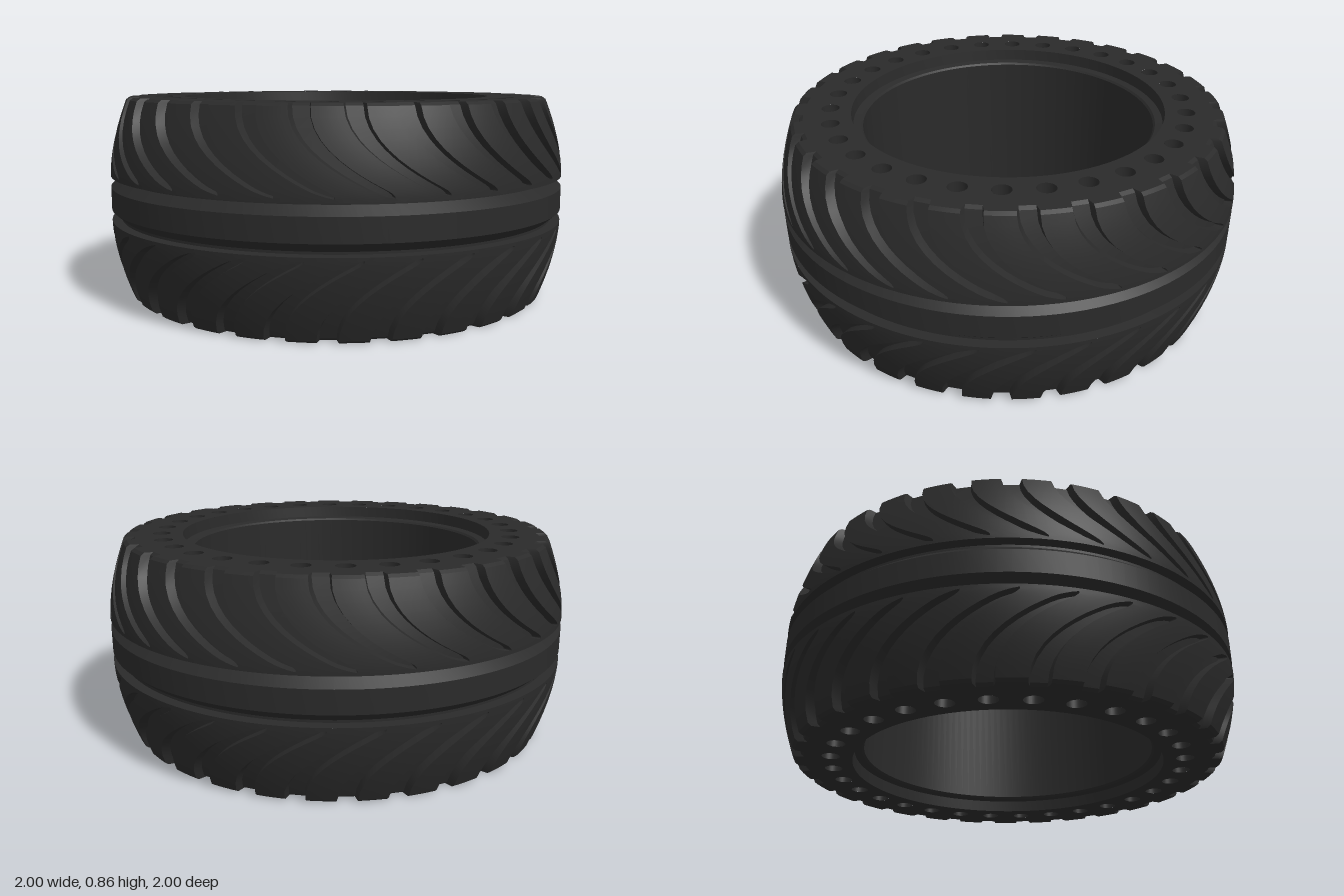
import * as THREE from 'three';
import { toCreasedNormals } from 'three/addons/utils/BufferGeometryUtils.js';

const MID = 0.4275;           // half of the tyre width
const COUNT = 30;             // grooves per side and side holes
const PITCH = (Math.PI * 2) / COUNT;
const DEG = Math.PI / 180;
const SWEEP = 21 * DEG;       // how far a groove leans round the tyre
const GROOVE_END = 0.04;      // grooves stop just short of the centre channel

// Rows from the centre channel (u = 0) to the shoulder (u = 1), then the bevelled rim.
const ROWS = [0, 0.039, 0.041, 0.055, 0.075, 0.1, 0.14, 0.2, 0.27, 0.35, 0.44, 0.54, 0.64, 0.76, 0.88, 1, 1.03];

// One row of tread points, as [angle, radius, distance from mid-plane]
function treadRow(u, phase) {
  const t = Math.min(u, 1);
  const bevel = u > 1 ? 0.014 : 0;
  const radius = 1 - 0.075 * Math.pow(t, 1.7) - bevel;
  const h = u > 1 ? MID : 0.095 + 0.322 * t;
  const open = Math.sqrt(THREE.MathUtils.clamp((t - GROOVE_END) / 0.07, 0, 1));
  const half = (1.7 + 0.8 * t) * DEG * Math.max(open, 0.08);
  const floor = radius - (t > GROOVE_END ? 0.036 : 0);
  const lean = SWEEP * Math.pow(1 - t, 2) + phase;
  const row = [];
  for (let k = 0; k < COUNT; k++) {
    const c = k * PITCH + lean;
    const land = PITCH - 2 * half;
    row.push([c - half, radius, h], [c - half * 0.8, floor, h], [c + half * 0.8, floor, h]);
    for (let j = 0; j < 4; j++) row.push([c + half + (land * j) / 4, radius, h]);
  }
  return row;
}

// Grooved tread on one side of the centre channel
function treadGeometry(side, phase) {
  const positions = [], index = [];
  const cols = COUNT * 7;
  ROWS.forEach((u) => {
    for (const [a, r, h] of treadRow(u, phase)) {
      positions.push(r * Math.sin(a), MID + side * h, r * Math.cos(a));
    }
  });
  for (let i = 0; i < ROWS.length - 1; i++) {
    for (let j = 0; j < cols; j++) {
      const a = i * cols + j, b = i * cols + ((j + 1) % cols);
      const c = b + cols, d = a + cols;
      if (side > 0) index.push(a, b, c, a, c, d);
      else index.push(a, c, b, a, d, c);
    }
  }
  const geometry = new THREE.BufferGeometry();
  geometry.setAttribute('position', new THREE.Float32BufferAttribute(positions, 3));
  geometry.setIndex(index);
  return toCreasedNormals(geometry, 0.5);
}

// Flat sidewall: notched outer edge, round inner edge and a ring of holes
function sidewallGeometry(side, phase) {
  const rim = treadRow(ROWS[ROWS.length - 1], phase);
  const shape = new THREE.Shape(
    rim.map(([a, r]) => new THREE.Vector2(r * Math.sin(a), -side * r * Math.cos(a)))
  );
  const addHole = (x, y, r) => {
    const path = new THREE.Path();
    path.absarc(x, y, r, 0, Math.PI * 2, true);
    shape.holes.push(path);
  };
  addHole(0, 0, 0.675);
  for (let k = 0; k < COUNT; k++) {
    addHole(0.765 * Math.sin(k * PITCH), 0.765 * Math.cos(k * PITCH), 0.038);
  }
  const geometry = new THREE.ShapeGeometry(shape, 48);
  geometry.rotateX((-side * Math.PI) / 2);
  geometry.translate(0, MID + side * MID, 0);
  return geometry;
}

function ringGeometry(profile) {
  const points = profile.map(([r, y]) => new THREE.Vector2(r, y));
  return toCreasedNormals(new THREE.LatheGeometry(points, 120), 0.4);
}

export function createModel() {
  const tyre = new THREE.Group();
  tyre.name = 'tyre';
  const rubber = new THREE.MeshStandardMaterial({ color: 0x2a2a2a });
  const thin = new THREE.MeshStandardMaterial({ color: 0x2a2a2a, side: THREE.DoubleSide });
  const add = (name, geometry, material = rubber, parent = tyre) => {
    const mesh = new THREE.Mesh(geometry, material);
    mesh.name = name;
    parent.add(mesh);
    return mesh;
  };

  // Two mirrored treads, staggered by half a pitch
  for (const [label, side, phase] of [['upper', 1, PITCH / 2], ['lower', -1, 0]]) {
    add(label + 'Tread', treadGeometry(side, phase));
    add(label + 'Sidewall', sidewallGeometry(side, phase));
  }

  // Centre rib with a narrow channel on each side
  add('centreRib', ringGeometry([
    [1, 0.3325], [0.96, 0.335], [0.96, 0.345], [1, 0.38],
    [1, 0.475], [0.96, 0.51], [0.96, 0.52], [1, 0.5225],
  ]));

  // Inner bore with a stepped bead at both ends
  add('innerBore', ringGeometry([
    [0.675, 0.855], [0.67, 0.805], [0.638, 0.8], [0.63, 0.792],
    [0.63, 0.063], [0.638, 0.055], [0.67, 0.05], [0.675, 0],
  ]));

  // Walls of the holes running through the tyre
  const holes = new THREE.Group();
  holes.name = 'sideHoles';
  tyre.add(holes);
  const holeWall = new THREE.CylinderGeometry(0.038, 0.038, 2 * MID, 32, 1, true);
  for (let k = 0; k < COUNT; k++) {
    const hole = add('holeWall', holeWall, thin, holes);
    hole.position.set(0.765 * Math.sin(k * PITCH), MID, 0.765 * Math.cos(k * PITCH));
  }
  return tyre;
}
